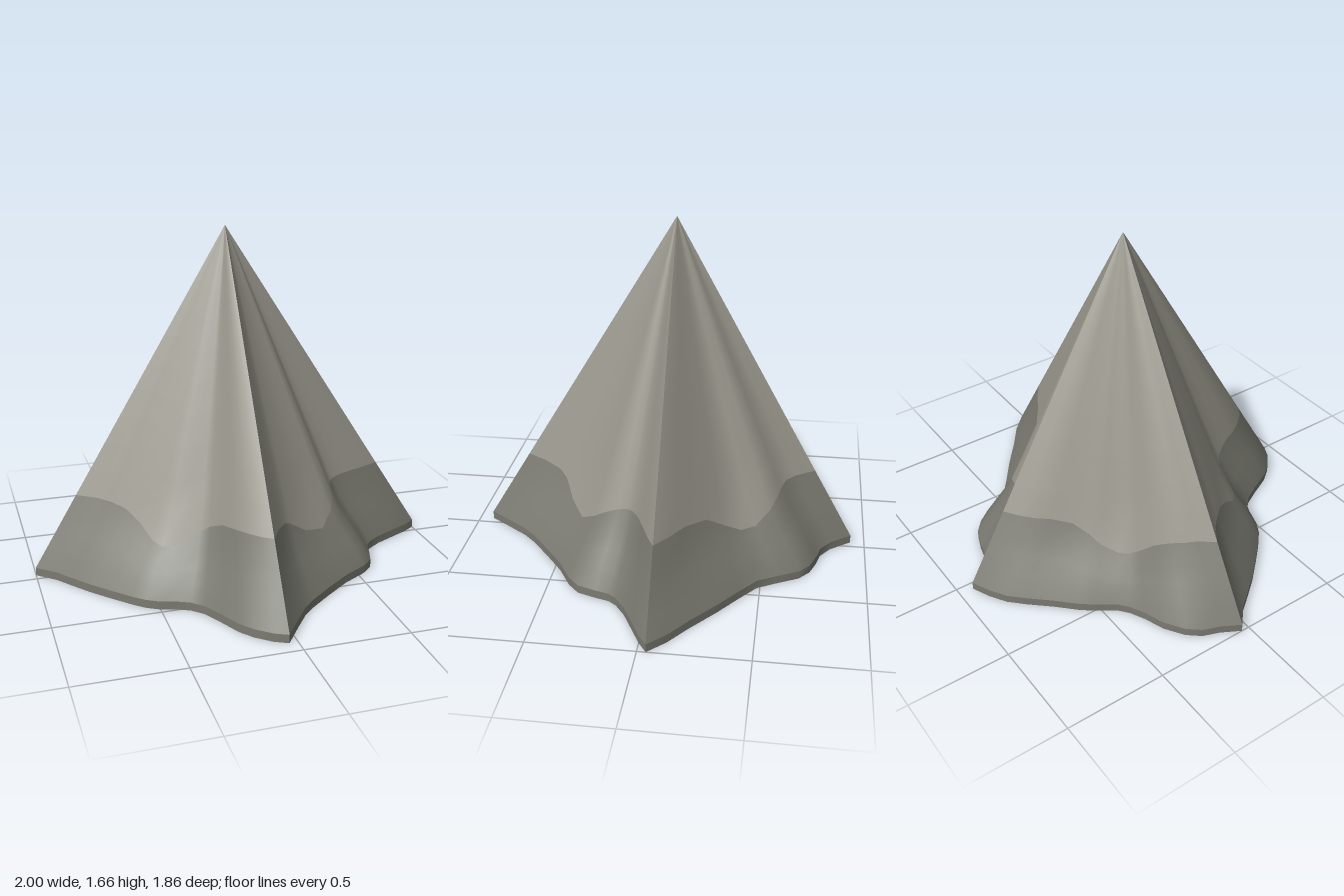
import * as THREE from 'three';

const APEX = { x: -0.04, y: 1.66, z: -0.04 };
const RIM = 0.04;

// Wavy base edge of each side, corner to corner [x, z], counter-clockwise from above.
// dip: where along the side the colour border sinks lowest.
const SIDES = [
  { name: 'backLeft', dip: 0.54, edge: [[1, -0.04], [0.92, -0.12], [0.81, -0.2], [0.66, -0.32], [0.55, -0.4], [0.44, -0.485], [0.39, -0.57], [0.33, -0.68], [0.27, -0.73], [0.19, -0.76], [0.11, -0.78], [0.04, -0.83], [-0.04, -0.93]] },
  { name: 'backRight', dip: 0.55, edge: [[-0.04, -0.93], [-0.13, -0.89], [-0.21, -0.84], [-0.28, -0.77], [-0.37, -0.67], [-0.45, -0.59], [-0.5, -0.53], [-0.56, -0.44], [-0.61, -0.4], [-0.68, -0.365], [-0.78, -0.33], [-0.87, -0.27], [-0.92, -0.21], [-0.95, -0.13], [-1, -0.04]] },
  { name: 'frontRight', dip: 0.48, edge: [[-1, -0.04], [-0.91, 0.04], [-0.85, 0.12], [-0.78, 0.21], [-0.69, 0.31], [-0.61, 0.395], [-0.56, 0.44], [-0.5, 0.475], [-0.43, 0.495], [-0.37, 0.525], [-0.32, 0.575], [-0.27, 0.67], [-0.22, 0.775], [-0.17, 0.84], [-0.1, 0.9], [-0.04, 0.93]] },
  { name: 'frontLeft', dip: 0.42, edge: [[-0.04, 0.93], [0.03, 0.83], [0.11, 0.72], [0.17, 0.66], [0.28, 0.57], [0.41, 0.47], [0.53, 0.4], [0.59, 0.345], [0.62, 0.26], [0.64, 0.19], [0.67, 0.15], [0.74, 0.1], [0.84, 0.05], [0.94, 0], [1, -0.04]] },
];

// Grid surface: point(i, j) gives [x, y, z] for column i and row j
function gridGeometry(cols, rows, point) {
  const pos = [], index = [];
  for (let j = 0; j <= rows; j++) {
    for (let i = 0; i <= cols; i++) pos.push(...point(i, j));
  }
  for (let j = 0; j < rows; j++) {
    for (let i = 0; i < cols; i++) {
      const a = j * (cols + 1) + i, c = a + cols + 1;
      index.push(a, a + 1, c + 1, a, c + 1, c);
    }
  }
  const geo = new THREE.BufferGeometry();
  geo.setAttribute('position', new THREE.Float32BufferAttribute(pos, 3));
  geo.setIndex(index);
  geo.computeVertexNormals();
  return geo;
}

// Fraction of the edge length at every point of the edge
function edgeFractions(edge) {
  const len = [0];
  for (let i = 1; i < edge.length; i++) {
    len.push(len[i - 1] + Math.hypot(edge[i][0] - edge[i - 1][0], edge[i][1] - edge[i - 1][1]));
  }
  return len.map((l) => l / len[len.length - 1]);
}

export function createModel() {
  const group = new THREE.Group();
  const upperMat = new THREE.MeshStandardMaterial({ color: 0x99978c });
  const lowerMat = new THREE.MeshStandardMaterial({ color: 0x7b7b72 });
  const add = (name, geo, mat) => {
    const mesh = new THREE.Mesh(geo, mat);
    mesh.name = name;
    group.add(mesh);
  };

  for (const { name, dip, edge } of SIDES) {
    const frac = edgeFractions(edge);
    const cols = edge.length - 1;

    // Slope narrows to the apex and sags inwards between the corners
    const slope = (i, u) => {
      const sag = 0.1 * Math.sin(Math.PI * frac[i]) * THREE.MathUtils.smoothstep(u, 0, 0.2);
      const s = (1 - u) * (1 - sag);
      return [
        APEX.x + (edge[i][0] - APEX.x) * s,
        RIM + (APEX.y - RIM) * u,
        APEX.z + (edge[i][1] - APEX.z) * s,
      ];
    };
    // Height of the wavy border between the two colours, as a share of the slope
    const border = (i) => {
      const y = 0.395 - 0.145 * Math.exp(-(((frac[i] - dip) / 0.17) ** 2));
      return (y - RIM) / (APEX.y - RIM);
    };

    add(name + 'Rim', gridGeometry(cols, 1, (i, j) => [edge[i][0], j * RIM, edge[i][1]]), lowerMat);
    add(name + 'LowerSlope', gridGeometry(cols, 4, (i, j) => slope(i, border(i) * j / 4)), lowerMat);
    add(name + 'UpperSlope', gridGeometry(cols, 10, (i, j) => slope(i, border(i) + (1 - border(i)) * j / 10)), upperMat);
  }

  // Flat underside
  const outline = SIDES.flatMap(({ edge }) => edge.slice(0, -1)).map(([x, z]) => new THREE.Vector2(x, z));
  add('underside', new THREE.ShapeGeometry(new THREE.Shape(outline)).rotateX(Math.PI / 2), lowerMat);

  return group;
}
